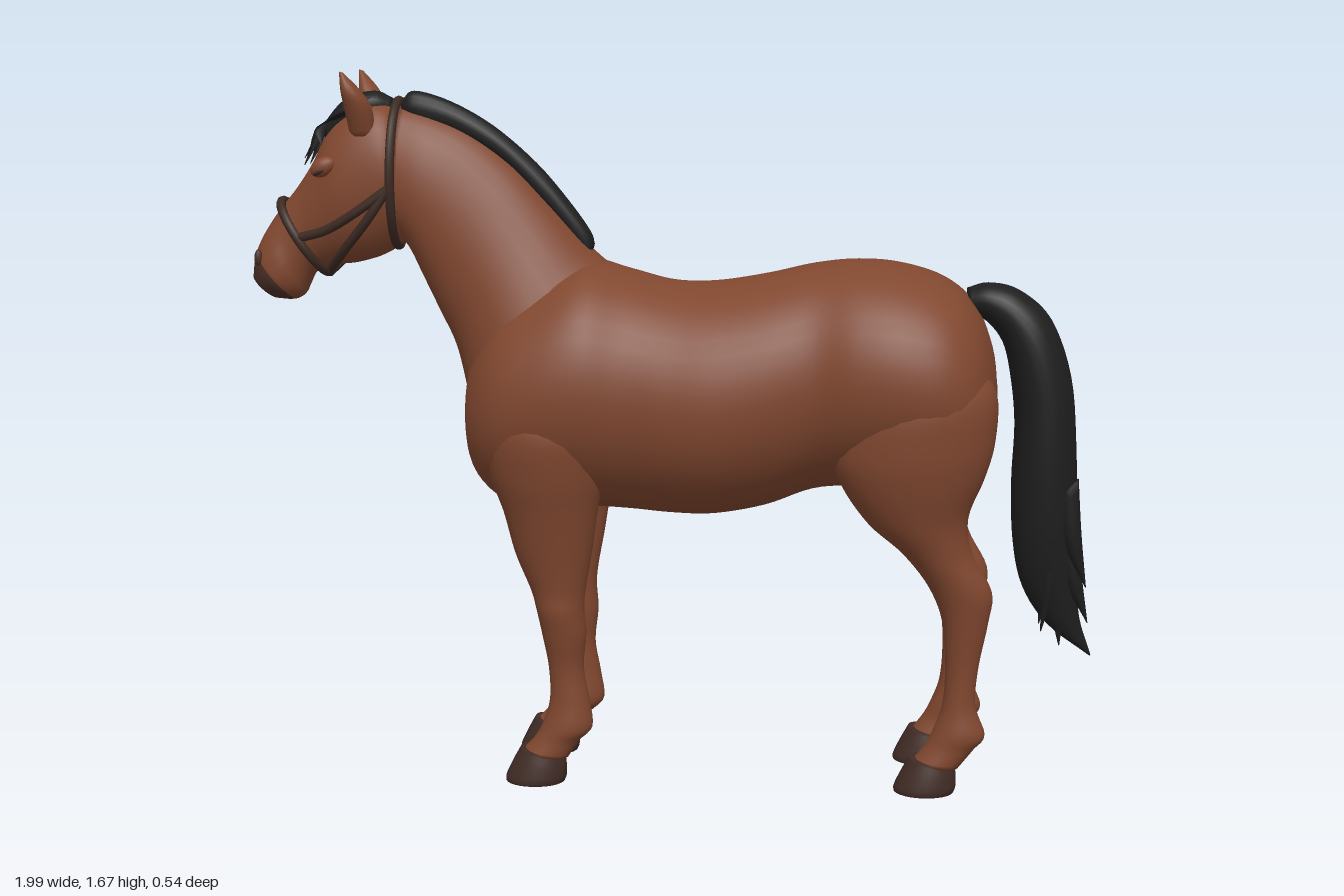
import * as THREE from 'three';

const mat = (name, color) => {
  const m = new THREE.MeshStandardMaterial({ color });
  m.name = name;
  return m;
};

// Smooth closed skin over elliptical sections.
// Section: [x1, y1, x2, y2, z, w] = two opposite points on the side outline, middle z, half width.
// pinch narrows the first-point side of every section.
function loft(sections, { sides = 28, sub = 5, pinch = 0 } = {}) {
  const first = new THREE.CatmullRomCurve3(
    sections.map((s) => new THREE.Vector3(s[0], s[1], s[4])), false, 'catmullrom', 0.5);
  const second = new THREE.CatmullRomCurve3(
    sections.map((s) => new THREE.Vector3(s[2], s[3], s[5])), false, 'catmullrom', 0.5);
  const rings = (sections.length - 1) * sub;
  const pos = [];
  const idx = [];
  for (let i = 0; i <= rings; i++) {
    const a = first.getPoint(i / rings);
    const b = second.getPoint(i / rings);
    for (let j = 0; j < sides; j++) {
      const t = (j / sides) * Math.PI * 2;
      const c = Math.cos(t);
      const w = Math.max(b.z, 0.001) * Math.sin(t) * (1 - pinch * c);
      pos.push((a.x + b.x) / 2 + ((a.x - b.x) / 2) * c, (a.y + b.y) / 2 + ((a.y - b.y) / 2) * c, a.z + w);
    }
  }
  for (let i = 0; i < rings; i++) {
    for (let j = 0; j < sides; j++) {
      const p = i * sides + j;
      const q = i * sides + ((j + 1) % sides);
      idx.push(p, q, p + sides, q, q + sides, p + sides);
    }
  }
  // end caps
  [0, rings].forEach((r) => {
    const centre = pos.length / 3;
    const o = r * sides * 3;
    const h = o + (sides / 2) * 3;
    pos.push((pos[o] + pos[h]) / 2, (pos[o + 1] + pos[h + 1]) / 2, (pos[o + 2] + pos[h + 2]) / 2);
    for (let j = 0; j < sides; j++) {
      const p = r * sides + j;
      const q = r * sides + ((j + 1) % sides);
      if (r === 0) idx.push(centre, q, p);
      else idx.push(centre, p, q);
    }
  });
  // turn all faces outwards
  const v = (k) => new THREE.Vector3(pos[k * 3], pos[k * 3 + 1], pos[k * 3 + 2]);
  let volume = 0;
  for (let k = 0; k < idx.length; k += 3) volume += v(idx[k]).dot(v(idx[k + 1]).cross(v(idx[k + 2])));
  if (volume < 0) for (let k = 0; k < idx.length; k += 3) [idx[k], idx[k + 1]] = [idx[k + 1], idx[k]];
  const g = new THREE.BufferGeometry();
  g.setAttribute('position', new THREE.Float32BufferAttribute(pos, 3));
  g.setIndex(idx);
  g.computeVertexNormals();
  return g;
}

const side = (sections, s) => sections.map((p) => [p[0], p[1], p[2], p[3], p[4] * s, p[5]]);

export function createModel() {
  const coat = mat('brown coat', 0x80472f);
  const hair = mat('black hair', 0x1e1e1e);
  const hoofMat = mat('dark hoof', 0x402b25);
  const leather = mat('halter leather', 0x3d2a23);
  const muzzleMat = mat('dark muzzle', 0x4c3028);
  const model = new THREE.Group();
  model.name = 'horse';
  const add = (name, geometry, material) => {
    const m = new THREE.Mesh(geometry, material);
    m.name = name;
    model.add(m);
    return m;
  };

  // Barrel, shoulders and rump: [x, top, bottom, half width]
  const trunk = [
    [-0.487, 0.91, 0.83, 0.05], [-0.465, 1.03, 0.73, 0.16], [-0.4, 1.14, 0.665, 0.235],
    [-0.3, 1.2, 0.65, 0.265], [-0.2, 1.235, 0.65, 0.27], [-0.1, 1.212, 0.645, 0.255],
    [0, 1.187, 0.637, 0.26], [0.1, 1.186, 0.637, 0.265], [0.22, 1.205, 0.66, 0.255],
    [0.33, 1.23, 0.7, 0.237], [0.43, 1.24, 0.71, 0.262], [0.53, 1.232, 0.71, 0.272],
    [0.63, 1.2, 0.71, 0.26], [0.7, 1.14, 0.73, 0.215], [0.742, 1.04, 0.79, 0.13], [0.755, 0.95, 0.87, 0.04],
  ];
  add('body', loft(trunk.map(([x, t, b, w]) => [x, t, x, b, 0, w]), { sides: 40 }), coat);

  add('neck', loft([
    [-0.08, 1.17, -0.46, 0.8, 0, 0.2], [-0.19, 1.26, -0.487, 0.93, 0, 0.17],
    [-0.28, 1.36, -0.512, 1.03, 0, 0.138], [-0.37, 1.455, -0.55, 1.11, 0, 0.115],
    [-0.47, 1.53, -0.588, 1.19, 0, 0.102], [-0.56, 1.57, -0.622, 1.26, 0, 0.096],
    [-0.64, 1.59, -0.66, 1.3, 0, 0.085],
  ], { pinch: 0.2 }), coat);

  // Head, with the last sections forming the dark lips
  const headGeo = loft([
    [-0.625, 1.55, -0.62, 1.33, 0, 0.07], [-0.67, 1.595, -0.635, 1.275, 0, 0.102],
    [-0.74, 1.593, -0.68, 1.242, 0, 0.108], [-0.803, 1.54, -0.745, 1.222, 0, 0.104],
    [-0.845, 1.46, -0.8, 1.215, 0, 0.088], [-0.885, 1.4, -0.845, 1.2, 0, 0.073],
    [-0.93, 1.345, -0.865, 1.165, 0, 0.07], [-0.967, 1.29, -0.876, 1.145, 0, 0.076],
    [-0.99, 1.24, -0.9, 1.133, 0, 0.073], [-0.998, 1.19, -0.94, 1.135, 0, 0.05],
  ]);
  const split = 39 * 28 * 6;
  const capTris = 28 * 3;
  headGeo.addGroup(0, split, 0);
  headGeo.addGroup(split, 45 * 28 * 6 - split, 1);
  headGeo.addGroup(45 * 28 * 6, capTris, 0);
  headGeo.addGroup(45 * 28 * 6 + capTris, capTris, 1);
  add('head', headGeo, [coat, muzzleMat]);

  // Legs: sections run from the top of the limb to the pastern
  const foreLeg = [
    [-0.4, 0.95, -0.18, 0.95, 0.14, 0.09], [-0.425, 0.85, -0.15, 0.85, 0.15, 0.11],
    [-0.415, 0.75, -0.15, 0.75, 0.148, 0.1], [-0.385, 0.66, -0.165, 0.66, 0.14, 0.085],
    [-0.36, 0.56, -0.18, 0.56, 0.132, 0.07], [-0.325, 0.47, -0.196, 0.47, 0.125, 0.06],
    [-0.312, 0.42, -0.2, 0.42, 0.124, 0.06], [-0.3, 0.36, -0.196, 0.36, 0.12, 0.052],
    [-0.286, 0.28, -0.203, 0.28, 0.116, 0.04], [-0.284, 0.2, -0.19, 0.2, 0.117, 0.041],
    [-0.302, 0.14, -0.183, 0.135, 0.118, 0.048], [-0.322, 0.105, -0.215, 0.1, 0.12, 0.044],
    [-0.35, 0.075, -0.24, 0.06, 0.12, 0.048],
  ];
  const hindLeg = [
    [0.47, 1.03, 0.7, 1.03, 0.12, 0.09], [0.4, 0.92, 0.748, 0.95, 0.135, 0.125],
    [0.375, 0.81, 0.747, 0.84, 0.138, 0.125], [0.4, 0.73, 0.725, 0.755, 0.14, 0.11],
    [0.46, 0.645, 0.69, 0.66, 0.135, 0.088], [0.54, 0.575, 0.702, 0.575, 0.13, 0.068],
    [0.602, 0.495, 0.748, 0.485, 0.125, 0.058], [0.636, 0.41, 0.742, 0.41, 0.12, 0.05],
    [0.645, 0.3, 0.722, 0.3, 0.116, 0.04], [0.64, 0.21, 0.717, 0.21, 0.116, 0.04],
    [0.62, 0.15, 0.74, 0.14, 0.118, 0.048], [0.6, 0.11, 0.715, 0.105, 0.12, 0.044],
    [0.573, 0.075, 0.68, 0.06, 0.12, 0.048],
  ];
  const hoof = (x) => [
    [x + 0.037, 0.085, x + 0.142, 0.062, 0.12, 0.046], [x + 0.018, 0.05, x + 0.145, 0.04, 0.12, 0.054],
    [x + 0.001, 0.014, x + 0.145, 0.014, 0.12, 0.06], [x, 0, x + 0.14, 0, 0.12, 0.059],
  ];
  const ear = [
    [-0.745, 1.52, -0.685, 1.52, 0.062, 0.028], [-0.752, 1.58, -0.69, 1.585, 0.08, 0.036],
    [-0.757, 1.625, -0.712, 1.625, 0.095, 0.03], [-0.758, 1.668, -0.748, 1.665, 0.104, 0.004],
  ];

  // Leather straps
  const strap = (name, points, closed = false) => {
    const curve = new THREE.CatmullRomCurve3(points.map((p) => new THREE.Vector3(...p)), closed);
    return add(name, new THREE.TubeGeometry(curve, 48, 0.011, 8, closed), leather);
  };
  const strapLoop = (name, x1, y1, x2, y2, w) => {
    const points = [];
    for (let i = 0; i < 20; i++) {
      const t = (i / 20) * Math.PI * 2;
      const c = Math.cos(t) / 2;
      points.push([(x1 + x2) / 2 + (x1 - x2) * c, (y1 + y2) / 2 + (y1 - y2) * c, w * Math.sin(t)]);
    }
    strap(name, points, true);
  };
  strapLoop('noseband', -0.925, 1.365, -0.815, 1.198, 0.086);
  strapLoop('crownStrap', -0.642, 1.6, -0.648, 1.262, 0.112);

  for (const s of [1, -1]) {
    const label = s > 0 ? 'left' : 'right';
    add(label + 'ForeLeg', loft(side(foreLeg, s)), coat);
    add(label + 'HindLeg', loft(side(hindLeg, s)), coat);
    add(label + 'ForeHoof', loft(side(hoof(-0.39), s)), hoofMat);
    add(label + 'HindHoof', loft(side(hoof(0.53), s)), hoofMat);
    add(label + 'Ear', loft(side(ear, s), { sides: 16 }), coat);

    const lid = add(label + 'Eyelid', new THREE.SphereGeometry(1, 16, 12), coat);
    lid.scale.set(0.032, 0.022, 0.02);
    lid.position.set(-0.805, 1.45, 0.088 * s);
    lid.rotation.z = 0.5;
    const eye = add(label + 'Eye', new THREE.SphereGeometry(1, 12, 8), hoofMat);
    eye.scale.set(0.018, 0.006, 0.012);
    eye.position.set(-0.81, 1.44, 0.098 * s);
    eye.rotation.z = 0.5;
    const nostril = add(label + 'Nostril', new THREE.SphereGeometry(1, 12, 8), muzzleMat);
    nostril.scale.set(0.01, 0.02, 0.012);
    nostril.position.set(-0.972, 1.235, 0.056 * s);

    strap(label + 'CheekStrap', [[-0.652, 1.4, 0.11 * s], [-0.73, 1.345, 0.111 * s],
      [-0.8, 1.305, 0.099 * s], [-0.868, 1.285, 0.084 * s]]);
    strap(label + 'JawStrap', [[-0.652, 1.4, 0.11 * s], [-0.7, 1.33, 0.108 * s],
      [-0.76, 1.26, 0.078 * s], [-0.815, 1.2, 0.015 * s]]);
  }

  // Mane along the crest
  add('mane', loft([
    [-0.635, 1.6, -0.63, 1.56, 0, 0.02], [-0.605, 1.622, -0.59, 1.54, 0, 0.03],
    [-0.52, 1.598, -0.49, 1.51, 0, 0.032], [-0.42, 1.542, -0.38, 1.44, 0, 0.032],
    [-0.32, 1.457, -0.29, 1.34, 0, 0.032], [-0.245, 1.37, -0.23, 1.27, 0, 0.031],
    [-0.195, 1.3, -0.2, 1.23, 0, 0.026], [-0.185, 1.27, -0.2, 1.22, 0, 0.01],
  ], { sides: 16 }), hair);

  // Tapered lock of hair through three [x, y, z] points
  const lock = (name, a, b, c, r) => add(name, loft([
    [a[0] + r, a[1] + r, a[0] - r, a[1] - r, a[2], r], [b[0] + r, b[1] + r * 0.6, b[0] - r, b[1] - r * 0.6, b[2], r],
    [c[0], c[1], c[0] - 0.002, c[1], c[2], 0.002],
  ], { sides: 8 }), hair);

  // Forelock
  add('forelockRoot', loft([
    [-0.655, 1.605, -0.66, 1.56, 0, 0.02], [-0.7, 1.622, -0.69, 1.56, 0, 0.04],
    [-0.77, 1.602, -0.74, 1.54, 0, 0.05], [-0.825, 1.54, -0.8, 1.5, 0, 0.04],
  ], { sides: 16 }), hair);
  [[-0.81, 1.5, 0.075], [-0.845, 1.47, 0.055], [-0.862, 1.45, 0.028], [-0.868, 1.465, 0]].forEach(([x, y, z], i) => {
    for (const s of z ? [1, -1] : [1]) {
      lock('forelockLock' + i, [-0.72, 1.59, z * 0.4 * s], [-0.805, 1.55, z * 0.85 * s], [x, y, z * s], 0.02);
    }
  });

  // Tail and its loose ends
  add('tail', loft([
    [0.68, 1.175, 0.69, 1.11, 0, 0.04], [0.73, 1.188, 0.725, 1.1, 0, 0.055],
    [0.8, 1.172, 0.765, 1.05, 0, 0.07], [0.875, 1.105, 0.785, 0.97, 0, 0.082],
    [0.925, 0.97, 0.797, 0.86, 0, 0.086], [0.942, 0.8, 0.793, 0.72, 0, 0.086],
    [0.947, 0.64, 0.8, 0.58, 0, 0.075], [0.95, 0.52, 0.825, 0.47, 0, 0.055],
    [0.96, 0.4, 0.885, 0.38, 0, 0.03], [0.99, 0.305, 0.985, 0.305, 0, 0.003],
  ]), hair);
  [[0.97, 0.48, 0.045], [0.978, 0.39, 0.025], [0.915, 0.33, 0.012], [0.87, 0.37, 0.035]].forEach(([x, y, z], i) => {
    const bx = x * 0.5 + 0.45;
    for (const s of [1, -1]) {
      lock('tailLock' + i, [bx - 0.01, y + 0.24, z * 1.1 * s], [bx, y + 0.12, z * 1.1 * s], [x, y, z * s], 0.02);
    }
  });
  return model;
}
